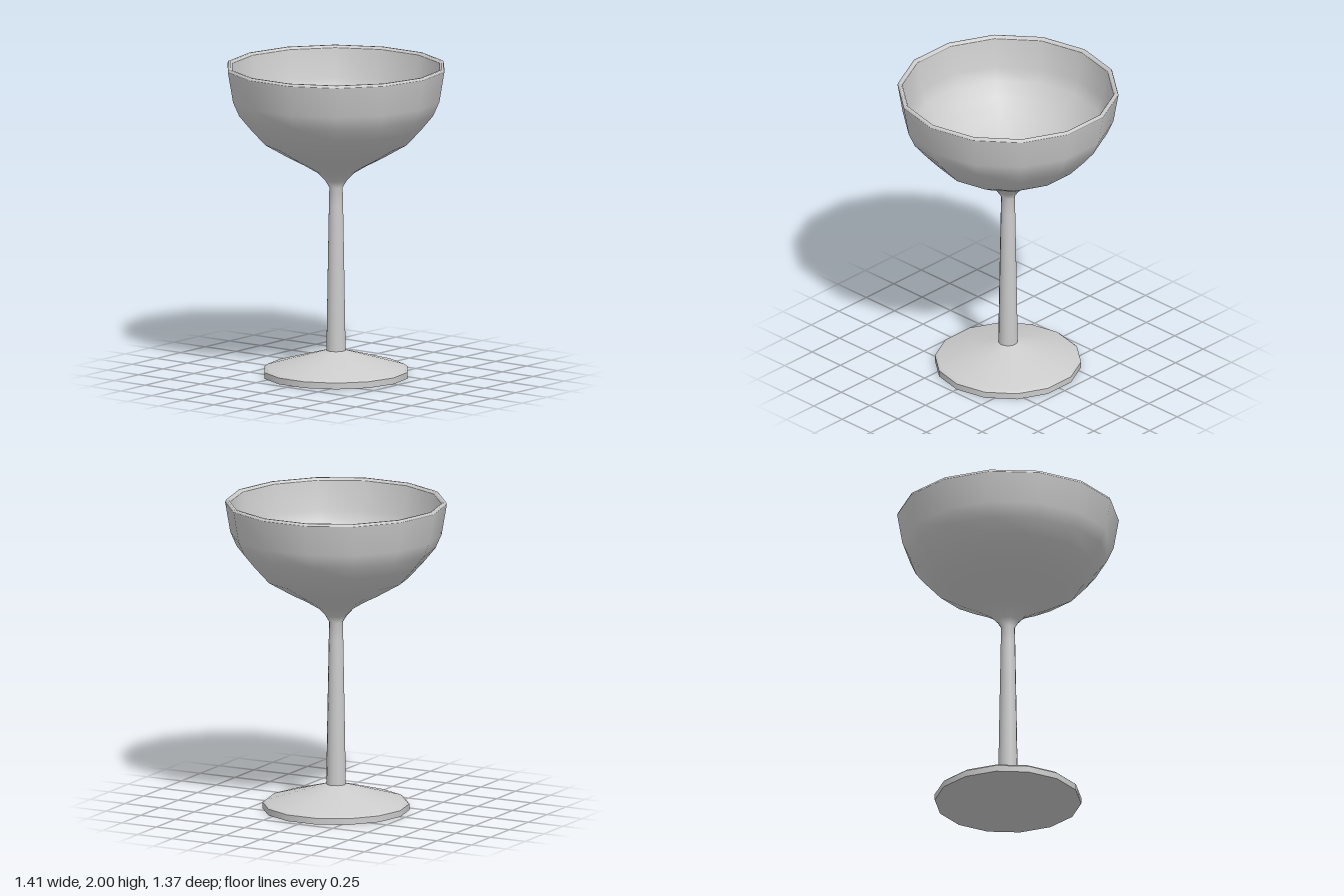
import * as THREE from 'three';

const SIDES = 14;

export function createModel() {
  const group = new THREE.Group();
  group.name = 'coupeGlass';
  const material = new THREE.MeshStandardMaterial({ color: 0xcccccc });

  // Turns a [radius, height] profile, with a corner on the x axis
  const turn = (name, profile) => {
    const points = profile.map(([r, y]) => new THREE.Vector2(r, y));
    const mesh = new THREE.Mesh(new THREE.LatheGeometry(points, SIDES, Math.PI / 2), material);
    mesh.name = name;
    group.add(mesh);
  };

  // Foot: separate profiles keep its edges sharp
  turn('footBase', [[0, 0], [0.465, 0]]);
  turn('footEdge', [[0.465, 0], [0.465, 0.04]]);
  turn('footTop', [[0.465, 0.04], [0.445, 0.056], [0.25, 0.112], [0.062, 0.165]]);

  // Stem flowing into the outside of the bowl
  turn('stemAndBowl', [
    [0.062, 0.165], [0.055, 0.6], [0.046, 1.1], [0.043, 1.215], [0.07, 1.26], [0.118, 1.31],
    [0.2, 1.36], [0.3, 1.412], [0.46, 1.505], [0.56, 1.615], [0.63, 1.7], [0.67, 1.79], [0.703, 1.985],
  ]);

  // Rounded rim
  turn('rim', [[0.703, 1.985], [0.697, 2], [0.682, 2], [0.672, 1.985]]);

  // Inside of the bowl
  turn('bowlInside', [
    [0.672, 1.985], [0.64, 1.8], [0.603, 1.716], [0.535, 1.635], [0.443, 1.532],
    [0.287, 1.442], [0.19, 1.394], [0.1, 1.362], [0, 1.35],
  ]);

  return group;
}
